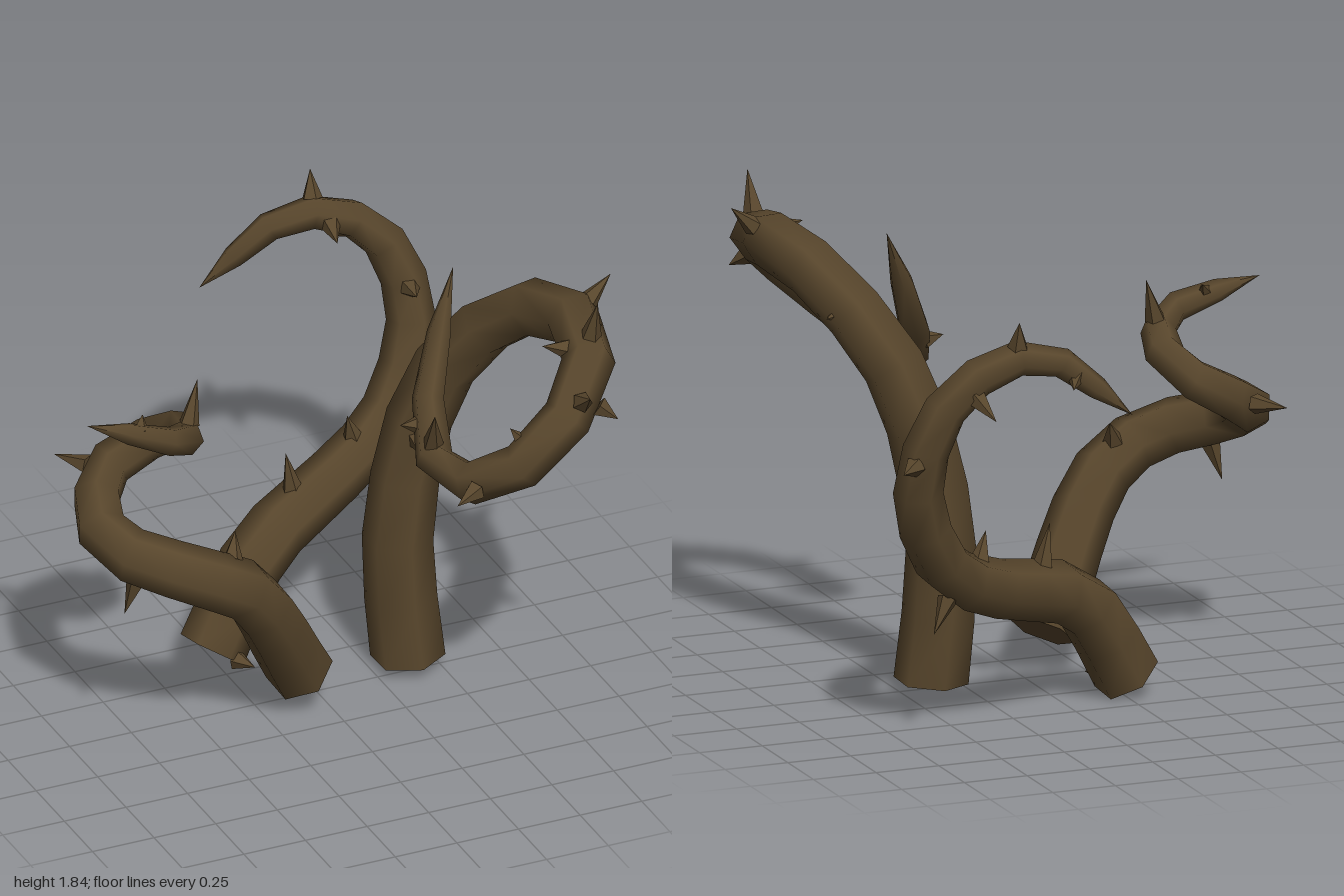
import * as THREE from 'three';
import { mergeGeometries } from 'three/addons/utils/BufferGeometryUtils.js';

const SIDES = 6;
const RINGS = 16;

// Thickness along a vine, from the cut end (u = 0) to the pointed tip (u = 1)
const radiusAt = (u, base) => base * Math.pow(1 - u, 0.4);

// Tapering six-sided tube along the curve, closed at the cut end
function stemGeometry(curve, base) {
  const pos = [], index = [];
  const { normals, binormals } = curve.computeFrenetFrames(RINGS);
  for (let i = 0; i <= RINGS; i++) {
    const centre = curve.getPointAt(i / RINGS), r = radiusAt(i / RINGS, base);
    for (let j = 0; j < SIDES; j++) {
      const a = (j / SIDES) * Math.PI * 2;
      const q = centre.clone()
        .addScaledVector(normals[i], r * Math.cos(a))
        .addScaledVector(binormals[i], r * Math.sin(a));
      pos.push(q.x, q.y, q.z);
      if (i < RINGS) {
        const k = (j + 1) % SIDES, lo = i * SIDES, hi = lo + SIDES;
        index.push(lo + j, lo + k, hi + k, lo + j, hi + k, hi + j);
      }
    }
  }
  // Separate vertices keep the cut end flat
  const first = pos.length / 3;
  pos.push(...pos.slice(0, SIDES * 3));
  for (let j = 1; j < SIDES - 1; j++) index.push(first, first + j + 1, first + j);
  const g = new THREE.BufferGeometry();
  g.setAttribute('position', new THREE.Float32BufferAttribute(pos, 3));
  g.setIndex(index);
  g.computeVertexNormals();
  return g;
}

// Faceted spike growing from the closest place on the stem out to its tip
function thornGeometry(tip, curve, base) {
  const samples = curve.getSpacedPoints(100);
  const distances = samples.map((p) => p.distanceTo(tip));
  const reach = Math.min(...distances);
  const nearest = distances.indexOf(reach);
  const direction = tip.clone().sub(samples[nearest]).normalize();
  const height = Math.max(reach - 0.8 * radiusAt(nearest / 100, base), 0.08);
  const g = new THREE.ConeGeometry(0.04, height, 5).toNonIndexed();
  g.computeVertexNormals();
  g.translate(0, -height / 2, 0);
  g.applyQuaternion(new THREE.Quaternion().setFromUnitVectors(new THREE.Vector3(0, 1, 0), direction));
  return g.translate(tip.x, tip.y, tip.z);
}

// One vine from its centre line, base radius and thorn tips
function createVine(name, material, base, path, tips) {
  const toVectors = (list) => list.map((p) => new THREE.Vector3(...p));
  const curve = new THREE.CatmullRomCurve3(toVectors(path));
  const vine = new THREE.Group();
  vine.name = name;
  const stem = new THREE.Mesh(stemGeometry(curve, base), material);
  stem.name = 'stem';
  const spikes = toVectors(tips).map((tip) => thornGeometry(tip, curve, base));
  const thorns = new THREE.Mesh(mergeGeometries(spikes), material);
  thorns.name = 'thorns';
  vine.add(stem, thorns);
  return vine;
}

export function createModel() {
  const model = new THREE.Group();
  model.name = 'thornyVines';
  const bark = new THREE.MeshStandardMaterial({ color: 0x58462c });
  bark.name = 'brown bark';

  // Tall vine looping forward
  model.add(createVine('tallVine', bark, 0.14,
    [[.39, .07, -.04], [.36, .6, -.06], [.5, 1.22, -.03], [.72, 1.58, .2], [.82, 1.67, .5],
      [.72, 1.57, .81], [.43, 1.3, .84], [.27, 1.16, .56], [.32, 1.3, .29], [.51, 1.76, .1]],
    [[.8, 1.87, .75], [.98, 1.81, .47], [.66, 1.62, .99], [.81, 1.46, .91], [.19, 1.2, .84],
      [.24, 1.41, .53], [.19, 1.28, .33], [.44, 1.43, .76], [.62, 1.68, .65], [.77, 1.47, .05],
      [.47, 1, -.28], [.36, 1.02, .13]]));

  // Left vine curling round on itself
  model.add(createVine('leftCurledVine', bark, 0.13,
    [[-.1, .18, .07], [-.42, .7, .28], [-.62, .82, .31], [-.89, .93, .1],
      [-.78, 1.05, -.18], [-.54, 1.2, -.13], [-.62, 1.31, .16], [-.98, 1.44, .11]],
    [[-.9, 1.06, -.36], [-.5, 1.49, .04], [-.86, .65, .18], [-.42, .91, .2], [-.75, 1.43, .1]]));

  // Rear vine hooking over to the side
  model.add(createVine('rearVine', bark, 0.13,
    [[-.27, .1, -.33], [-.05, .43, -.4], [.35, .56, -.59], [.6, .69, -.7],
      [.75, 1.05, -.8], [.62, 1.4, -.86], [.3, 1.52, -.88], [-.05, 1.27, -.93]],
    [[.1, .76, -.49], [.4, .79, -.6], [.66, .45, -.73], [.87, 1.14, -.95], [.71, 1.19, -.66],
      [.52, 1.32, -1], [.42, 1.45, -.73], [.4, 1.67, -.93], [.2, 1.4, -.97], [-.17, .08, -.17]]));

  return model;
}
